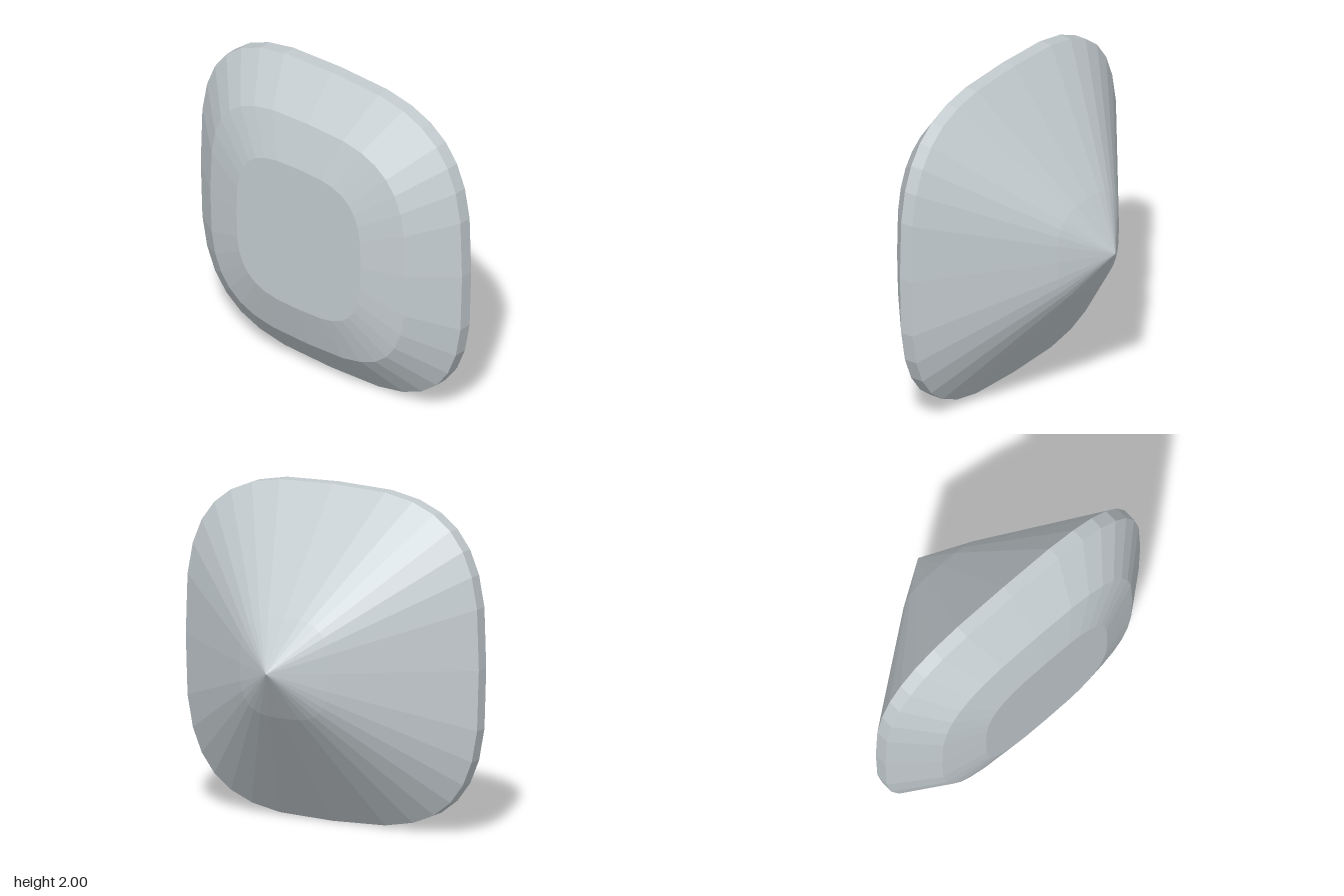
import * as THREE from 'three';

const SEGMENTS = 32;
const POWER = 0.625; // rounds the circle out to a cushion outline

const squircle = (v, r) => Math.sign(v) * r * Math.pow(Math.abs(v) / r, POWER);

// Lathe a [radius, z] profile (back to front), then push it out to the cushion outline
function cushionBand(profile) {
  const geo = new THREE.LatheGeometry(profile.map(([r, z]) => new THREE.Vector2(r, z)), SEGMENTS);
  const pos = geo.attributes.position;
  for (let i = 0; i < pos.count; i++) {
    const x = pos.getX(i), z = pos.getZ(i), r = Math.hypot(x, z);
    if (r > 1e-6) {
      pos.setX(i, squircle(x, r));
      pos.setZ(i, squircle(z, r));
    }
  }
  geo.rotateX(Math.PI / 2); // lathe axis to front
  const flat = geo.toNonIndexed();
  flat.computeVertexNormals();
  return flat;
}

export function createModel() {
  const gem = new THREE.Group();
  gem.name = 'cushionCutGem';
  const stone = new THREE.MeshStandardMaterial({ color: 0xc4ccd0, flatShading: true });
  stone.name = 'paleGreyStone';

  const parts = {
    pavilion: [[0, -0.555], [0.3, -0.355], [1, 0.18]], // pointed back
    girdle: [[1, 0.18], [1, 0.262]],                   // thin straight rim
    crown: [[1, 0.262], [0.745, 0.473], [0.475, 0.555]], // two sloped front bands
    table: [[0.475, 0.555], [0, 0.555]],               // flat front face
  };
  for (const [name, profile] of Object.entries(parts)) {
    const mesh = new THREE.Mesh(cushionBand(profile), stone);
    mesh.name = name;
    mesh.position.y = 1;
    gem.add(mesh);
  }
  return gem;
}
